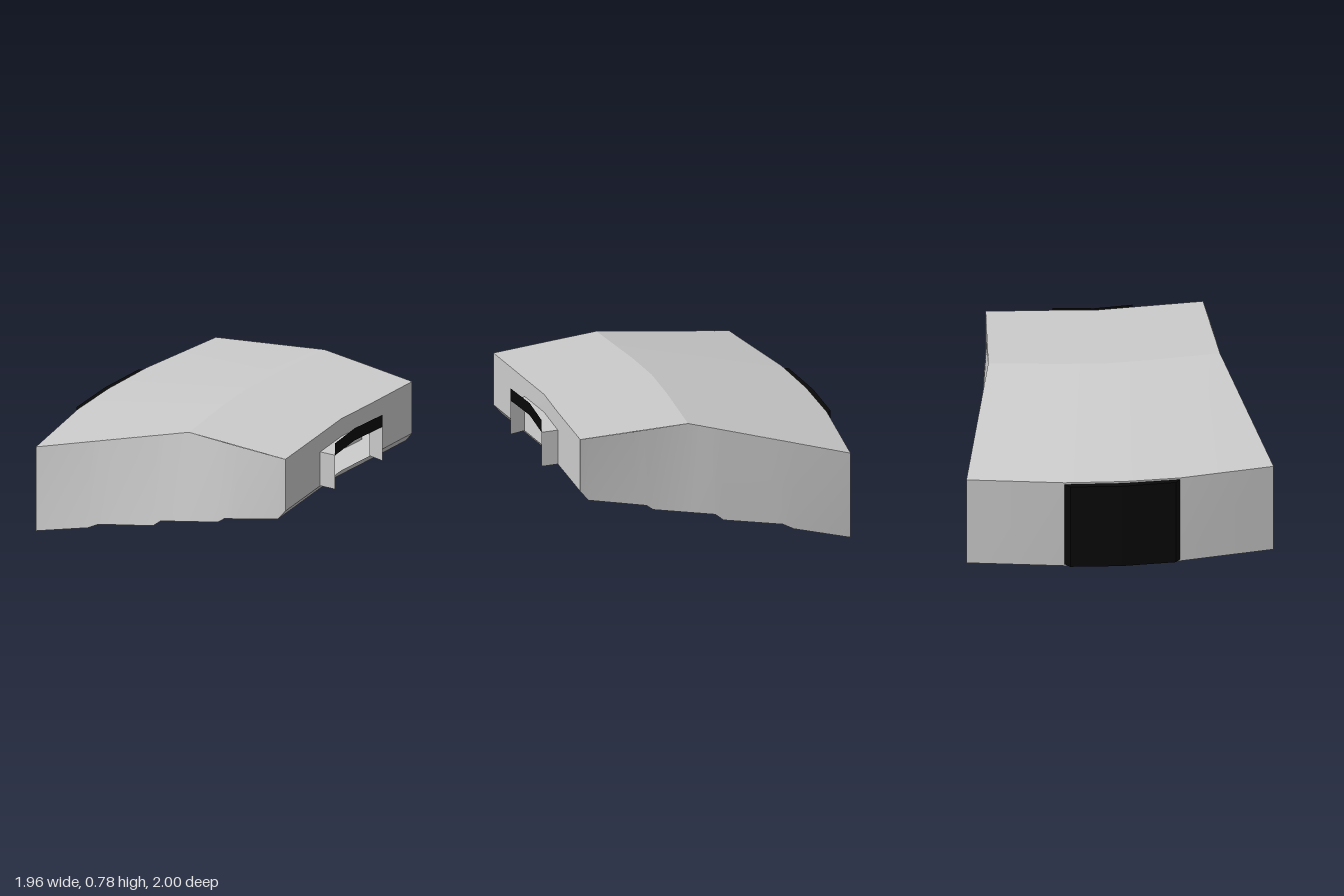
import * as THREE from 'three';
import { toCreasedNormals } from 'three/addons/utils/BufferGeometryUtils.js';

// Plan of the hall: curved back and front edges sharing the same stations
const STATIONS = [0, 0.29, 0.47, 0.66, 1];
const BACK = [[-0.98, -0.3], [-0.53, -0.6], [-0.25, -0.74], [0.06, -0.86], [0.59, -1]];
const FRONT = [[-0.13, 1], [0.2, 0.82], [0.4, 0.71], [0.63, 0.63], [0.98, 0.5]];
// Underside steps: [depth from back 0 to front 1, height]
const STEPS = [[0, 0], [0.21, 0.09], [0.25, 0.125], [0.47, 0.19], [0.5, 0.23],
  [0.73, 0.3], [0.755, 0.33], [0.97, 0.4], [1, 0.46]];
const ROOF = [[0, 0.52], [0.59, 0.78], [1, 0.78]];
const SLOT_U = [[0.04, 0.22], [0.27, 0.43], [0.5, 0.68], [0.72, 0.93]];
const SLOT_T = [[0.255, 0.29], [0.505, 0.54], [0.76, 0.795]];

const lerp = THREE.MathUtils.lerp;
const sorted = (list) => [...new Set(list)].sort((a, b) => a - b);
const within = (v, [a, b]) => v > a && v < b;

// Height along a [position, height] profile
function along(profile, t) {
  let i = 0;
  while (i < profile.length - 2 && t > profile[i + 1][0]) i++;
  const [a, b] = [profile[i], profile[i + 1]];
  return lerp(a[1], b[1], (t - a[0]) / (b[0] - a[0]));
}

function plan(u, t, y) {
  const at = (edge, k) => along(STATIONS.map((s, i) => [s, edge[i][k]]), u);
  return [lerp(at(BACK, 0), at(FRONT, 0), t), y, lerp(at(BACK, 1), at(FRONT, 1), t)];
}

// The roof draws in slightly at the ridge
function roofPoint(u, t) {
  const pinch = 0.09 * (t < 0.59 ? t / 0.59 : (1 - t) / 0.41);
  return plan(0.5 + (u - 0.5) * (1 - pinch), t, along(ROOF, t));
}
const underPoint = (u, t) => plan(u, t, along(STEPS, t));

// Surface over two lists of parameters, with optional cells left out
function grid(us, vs, point, { flip = false, skip = () => false } = {}) {
  const out = [];
  for (let i = 0; i < us.length - 1; i++) {
    for (let j = 0; j < vs.length - 1; j++) {
      if (skip((us[i] + us[i + 1]) / 2, (vs[j] + vs[j + 1]) / 2)) continue;
      const q = [point(us[i], vs[j]), point(us[i + 1], vs[j]),
        point(us[i + 1], vs[j + 1]), point(us[i], vs[j + 1])];
      if (flip) q.reverse();
      out.push(...q[0], ...q[1], ...q[2], ...q[0], ...q[2], ...q[3]);
    }
  }
  return out;
}

function surface(name, positions, material) {
  const geometry = new THREE.BufferGeometry();
  geometry.setAttribute('position', new THREE.Float32BufferAttribute(positions, 3));
  const mesh = new THREE.Mesh(toCreasedNormals(geometry, 0.2), material);
  mesh.name = name;
  return mesh;
}

export function createModel() {
  const group = new THREE.Group();
  group.name = 'raisedHall';
  const grey = new THREE.MeshStandardMaterial({ color: 0xcccccc, side: THREE.DoubleSide });
  const inward = new THREE.MeshStandardMaterial({ color: 0xcccccc });
  const black = new THREE.MeshStandardMaterial({ color: 0x080808, side: THREE.DoubleSide });
  const add = (name, positions, material = grey) => group.add(surface(name, positions, material));

  const us = sorted([...STATIONS, ...SLOT_U.flat()]);
  const stepTs = sorted([...STEPS.map((s) => s[0]), ...SLOT_T.flat()]);
  const ridgeTs = sorted([...stepTs, 0.59]);

  // Stepped underside with slots left open
  const inSlot = (u, t) => SLOT_U.some((r) => within(u, r)) && SLOT_T.some((r) => within(t, r));
  add('steppedUnderside', grid(us, stepTs, underPoint, { skip: inSlot }));

  // Recesses above the slots
  const rise = 0.035;
  const slots = [];
  const lifted = (u, t, y) => {
    const p = underPoint(u, t);
    return [p[0], p[1] + y, p[2]];
  };
  for (const ur of SLOT_U) {
    const su = us.filter((u) => u >= ur[0] && u <= ur[1]);
    for (const tr of SLOT_T) {
      slots.push(...grid(su, tr, (u, t) => lifted(u, t, rise)));
      tr.forEach((t, k) => slots.push(...grid(su, [0, rise], (u, y) => lifted(u, t, y), { flip: k === 1 })));
      ur.forEach((u, k) => slots.push(...grid(tr, [0, rise], (t, y) => lifted(u, t, y), { flip: k === 0 })));
    }
  }
  add('slotRecesses', slots);

  // Roof, flat in front and sloping to the back
  add('roof', grid(STATIONS, [0, 0.59, 1], roofPoint, { flip: true }));

  // Side walls between steps and roof
  for (const u of [0, 1]) {
    const wall = (t, k) => (k ? roofPoint(u, t) : underPoint(u, t));
    add(u ? 'leftWall' : 'rightWall', grid(ridgeTs, [0, 1], wall, { flip: u === 1 }));
  }

  // Back wall, and front wall with the bay opening
  add('backWall', grid(STATIONS, [0, 0.52], (u, y) => plan(u, 0, y), { flip: true }));
  add('frontWall', grid(STATIONS, [0.46, 0.67, 0.78], (u, y) => plan(u, 1, y), {
    skip: (u, y) => within(u, [0.29, 0.66]) && y < 0.67,
  }));

  // Bay: cheeks, top, inward-facing pane and dark fascia
  const bayOuter = [[0.25, 0.9], [0.44, 0.79], [0.66, 0.72]];
  const bayInner = FRONT.slice(1, 4);
  const bay = (i, d, y) => [lerp(bayInner[i][0], bayOuter[i][0], d), y, lerp(bayInner[i][1], bayOuter[i][1], d)];
  for (const i of [0, 2]) {
    add('bayCheek', grid([0, 1], [0.46, 0.67], (d, y) => bay(i, d, y), { flip: i === 2 }));
  }
  add('bayTop', grid([0, 1, 2], [0, 1], (i, d) => bay(i, d, 0.67), { flip: true }));
  add('bayPane', grid([0, 1, 2], [0.46, 0.67], (i, y) => bay(i, 1, y), { flip: true }), inward);
  add('bayFascia', grid([0, 1, 2], [0.67, 0.745], (i, y) => bay(i, 1, y)), black);

  // Dark curved panel on the back wall
  const outline = [[-0.53, -0.6], [-0.52, -0.64], [-0.25, -0.78], [0.02, -0.88], [0.06, -0.86], [-0.25, -0.74]];
  const shape = new THREE.Shape(outline.map(([x, z]) => new THREE.Vector2(x, -z)));
  const panelGeometry = new THREE.ExtrudeGeometry(shape, { depth: 0.5, bevelEnabled: false });
  panelGeometry.rotateX(-Math.PI / 2).translate(0, 0.01, 0);
  const panel = new THREE.Mesh(panelGeometry, black);
  panel.name = 'backPanel';
  group.add(panel);

  return group;
}
